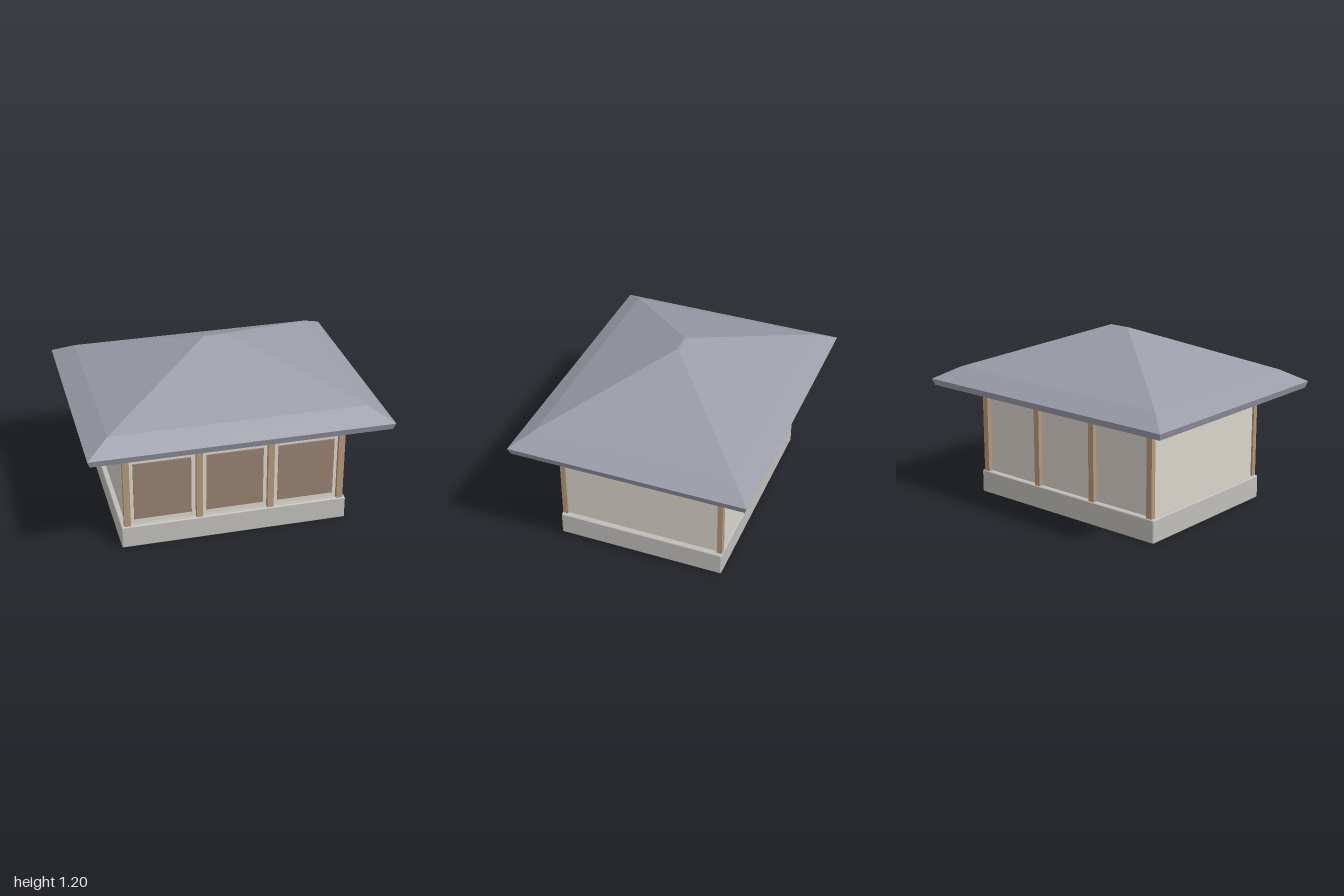
import * as THREE from 'three';
import { RoundedBoxGeometry } from 'three/addons/geometries/RoundedBoxGeometry.js';

const mat = (color, extra = {}) => {
  const m = new THREE.MeshStandardMaterial({ color, ...extra });
  return m;
};

// Rectangular rings [halfX, y, halfZ] joined into flat-shaded bands
function ringShell(rings) {
  const corner = ([x, y, z], i) => [[x, y, z], [x, y, -z], [-x, y, -z], [-x, y, z]][i % 4];
  const pos = [];
  for (let r = 0; r < rings.length - 1; r++) {
    for (let i = 0; i < 4; i++) {
      const a = corner(rings[r], i), b = corner(rings[r], i + 1);
      const c = corner(rings[r + 1], i + 1), d = corner(rings[r + 1], i);
      pos.push(...a, ...b, ...c, ...a, ...c, ...d);
    }
  }
  const geo = new THREE.BufferGeometry();
  geo.setAttribute('position', new THREE.Float32BufferAttribute(pos, 3));
  geo.computeVertexNormals();
  return geo;
}

export function createModel() {
  const model = new THREE.Group();
  model.name = 'pavilion';
  const stone = mat(0xc0beba), plaster = mat(0xd8d4cb);
  const wood = mat(0xb4987a), shutter = mat(0x96806f);
  const tile = mat(0x9a9ca8, { flatShading: true });

  const add = (name, geo, material, x, y, z) => {
    const mesh = new THREE.Mesh(geo, material);
    mesh.name = name;
    mesh.position.set(x, y, z);
    model.add(mesh);
    return mesh;
  };
  const box = (name, material, w, h, d, x, y, z) =>
    add(name, new THREE.BoxGeometry(w, h, d), material, x, y, z);

  // Plinth and walls
  add('plinth', new RoundedBoxGeometry(1.54, 0.16, 1.15, 2, 0.01), stone, 0, 0.08, 0);
  box('walls', plaster, 1.47, 0.585, 1.08, 0, 0.4525, 0);

  // Posts on front and back
  for (const x of [-0.7275, -0.2425, 0.2425, 0.7275]) {
    box('frontPost', wood, 0.043, 0.55, 0.035, x, 0.435, 0.5525);
    box('backPost', wood, 0.043, 0.585, 0.035, x, 0.4525, -0.5525);
  }
  box('frontBeam', wood, 1.498, 0.04, 0.035, 0, 0.73, 0.5525);

  // Framed front bays with shutters
  for (const x of [-0.487, 0, 0.487]) {
    box('bayPanel', plaster, 0.435, 0.535, 0.012, x, 0.44, 0.54);
    box('shutter', shutter, 0.385, 0.415, 0.02, x, 0.4075, 0.545);
  }

  // Hipped roof: inner shell, eave, fascia, outer slopes, ridge
  add('roof', ringShell([
    [0.08, 1.15, 0.01], [0.85, 0.86, 0.67], [0.985, 0.78, 0.79],
    [1, 0.825, 0.805], [0.85, 0.91, 0.67], [0.08, 1.2, 0.01],
  ]), tile, 0, 0, 0);
  box('ridgeCap', tile, 0.16, 0.01, 0.02, 0, 1.195, 0);
  return model;
}
